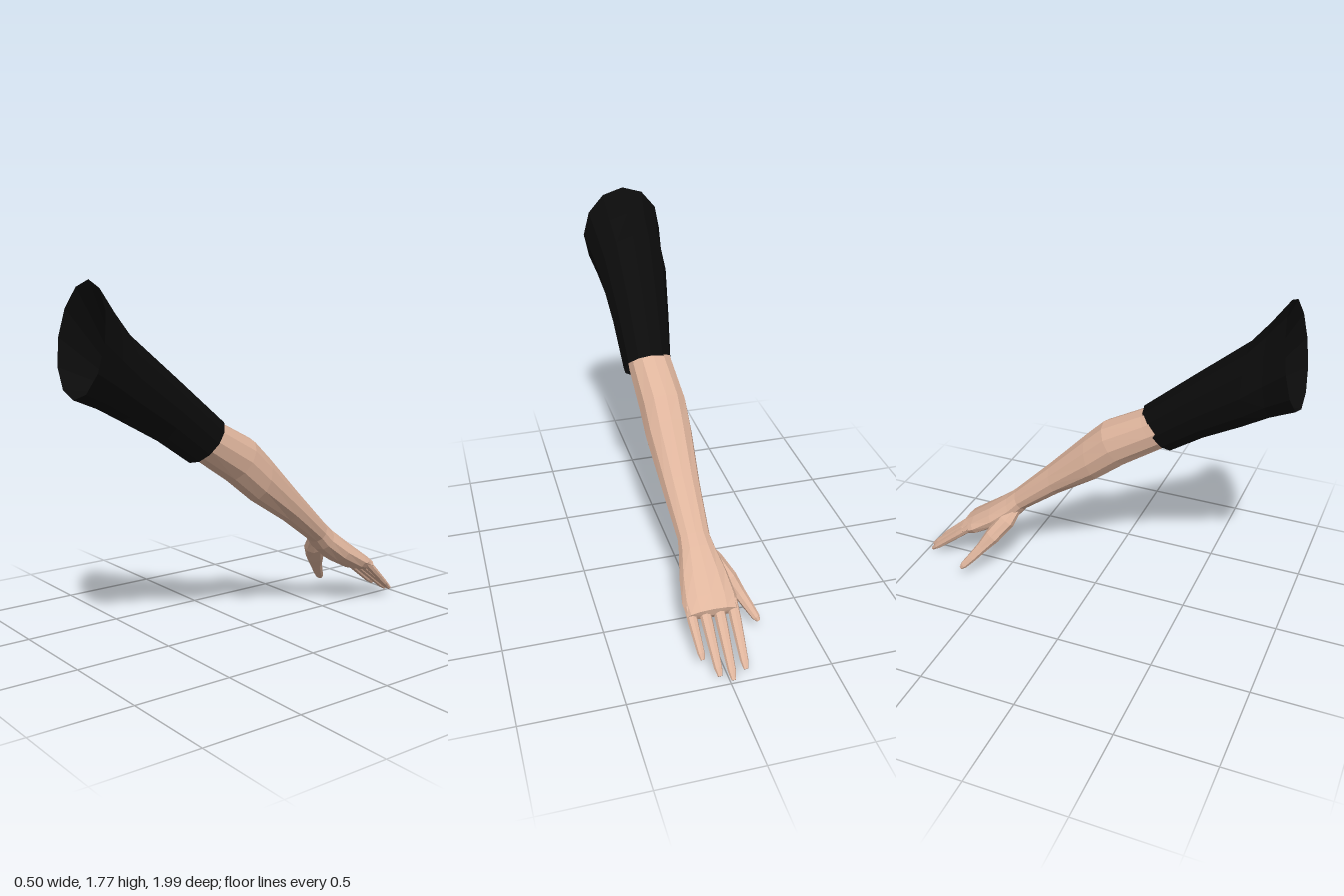
import * as THREE from 'three';

const SIDES = 12;

// Skin a list of rings { c, u, v } (centre and two half-axes) with flat facets.
function loft(rings, sides = SIDES) {
  const pos = [], idx = [];
  for (const { c, u, v } of rings) {
    for (let j = 0; j < sides; j++) {
      const t = (j / sides) * Math.PI * 2;
      const p = c.clone().addScaledVector(u, Math.cos(t)).addScaledVector(v, Math.sin(t));
      pos.push(p.x, p.y, p.z);
    }
  }
  for (let i = 0; i < rings.length - 1; i++) {
    for (let j = 0; j < sides; j++) {
      const a = i * sides + j, b = i * sides + (j + 1) % sides;
      idx.push(a, a + sides, b, b, a + sides, b + sides);
    }
  }
  const indexed = new THREE.BufferGeometry();
  indexed.setAttribute('position', new THREE.Float32BufferAttribute(pos, 3));
  indexed.setIndex(idx);
  const geometry = indexed.toNonIndexed();
  geometry.computeVertexNormals();
  return geometry;
}

// Ring from its top point, bottom point (y, z) and its range in x.
function ring([topY, topZ, botY, botZ, x0, x1]) {
  return {
    c: new THREE.Vector3((x0 + x1) / 2, (topY + botY) / 2, (topZ + botZ) / 2),
    u: new THREE.Vector3((x1 - x0) / 2, 0, 0),
    v: new THREE.Vector3(0, (topY - botY) / 2, (topZ - botZ) / 2),
  };
}

// Zero-size ring that closes an end.
const point = (x, y, z) => ring([y, z, y, z, x, x]);

// Tapered digit along points [x, y, z, radius], closed at its tip.
function digit(points, flatness = 0.85) {
  const centres = points.map(p => new THREE.Vector3(p[0], p[1], p[2]));
  const up = new THREE.Vector3(0, 1, 0);
  const rings = centres.map((c, i) => {
    const next = centres[Math.min(i + 1, centres.length - 1)];
    const d = next.clone().sub(centres[Math.max(i - 1, 0)]).normalize();
    const u = d.clone().cross(up).normalize();
    const v = u.clone().cross(d);
    const r = points[i][3];
    return { c, u: u.multiplyScalar(r), v: v.multiplyScalar(r * flatness) };
  });
  const end = centres[centres.length - 1];
  rings.push(point(end.x, end.y, end.z));
  return loft(rings, 8);
}

export function createModel() {
  const model = new THREE.Group();
  const skin = new THREE.MeshStandardMaterial({ color: 0xdfb59d });
  skin.name = 'skin';
  const cloth = new THREE.MeshStandardMaterial({ color: 0x0b0b0b, side: THREE.DoubleSide });
  cloth.name = 'black cloth';

  const add = (name, geometry, material, parent = model) => {
    const mesh = new THREE.Mesh(geometry, material);
    mesh.name = name;
    parent.add(mesh);
  };

  // Sleeve: hollowed shoulder end, tapering to an open cuff
  add('sleeve', loft([
    point(0.06, 1.27, 0.72),
    ring([1.785, 0.91, 1.265, 1.0, -0.17, 0.25]),
    ring([1.67, 0.83, 1.215, 0.88, -0.155, 0.225]),
    ring([1.57, 0.75, 1.15, 0.76, -0.155, 0.205]),
    ring([1.345, 0.49, 1.04, 0.57, -0.11, 0.19]),
    ring([1.12, 0.235, 0.92, 0.405, -0.065, 0.185]),
  ]), cloth);

  // Forearm, from inside the sleeve down to the wrist
  add('forearm', loft([
    point(0.06, 1.275, 0.735),
    ring([1.22, 0.42, 1.03, 0.5, -0.06, 0.15]),
    ring([1.105, 0.23, 0.935, 0.37, -0.07, 0.16]),
    ring([1.0, 0.03, 0.8, 0.17, -0.085, 0.157]),
    ring([0.91, -0.06, 0.68, 0.02, -0.083, 0.153]),
    ring([0.7, -0.26, 0.54, -0.2, -0.066, 0.128]),
    ring([0.5, -0.46, 0.395, -0.4, -0.06, 0.102]),
  ]), skin);

  // Hand
  const hand = new THREE.Group();
  hand.name = 'hand';
  model.add(hand);
  add('palm', loft([
    ring([0.5, -0.46, 0.395, -0.4, -0.06, 0.102]),
    ring([0.455, -0.51, 0.345, -0.44, -0.075, 0.108]),
    ring([0.385, -0.6, 0.265, -0.54, -0.105, 0.132]),
    ring([0.31, -0.7, 0.205, -0.655, -0.122, 0.148]),
    ring([0.265, -0.76, 0.19, -0.73, -0.115, 0.142]),
    point(0.01, 0.222, -0.752),
  ]), skin, hand);

  // Fingers: root x, tip x, tip y, tip z
  const fingers = {
    indexFinger: [-0.09, -0.086, 0.04, -0.955],
    middleFinger: [-0.019, -0.016, 0.018, -0.988],
    ringFinger: [0.052, 0.044, 0.036, -0.965],
    littleFinger: [0.121, 0.105, 0.08, -0.885],
  };
  for (const [name, [x0, x1, y1, z1]] of Object.entries(fingers)) {
    const r = name === 'littleFinger' ? 0.025 : 0.028;
    const at = (t, radius) => [
      THREE.MathUtils.lerp(x0, x1, t),
      THREE.MathUtils.lerp(0.255, y1, t),
      THREE.MathUtils.lerp(-0.7, z1, t),
      radius,
    ];
    add(name, digit([at(0, r), at(0.3, r), at(0.6, r * 0.86), at(0.88, r * 0.72), at(1, r * 0.4)]), skin, hand);
  }

  // Thumb, spreading out and down from the wrist
  add('thumb', digit([
    [-0.01, 0.41, -0.45, 0.035],
    [-0.065, 0.335, -0.49, 0.052],
    [-0.125, 0.255, -0.55, 0.048],
    [-0.165, 0.195, -0.595, 0.034],
    [-0.2, 0.14, -0.64, 0.028],
    [-0.228, 0.095, -0.68, 0.021],
    [-0.238, 0.08, -0.693, 0.01],
  ]), skin, hand);

  return model;
}
